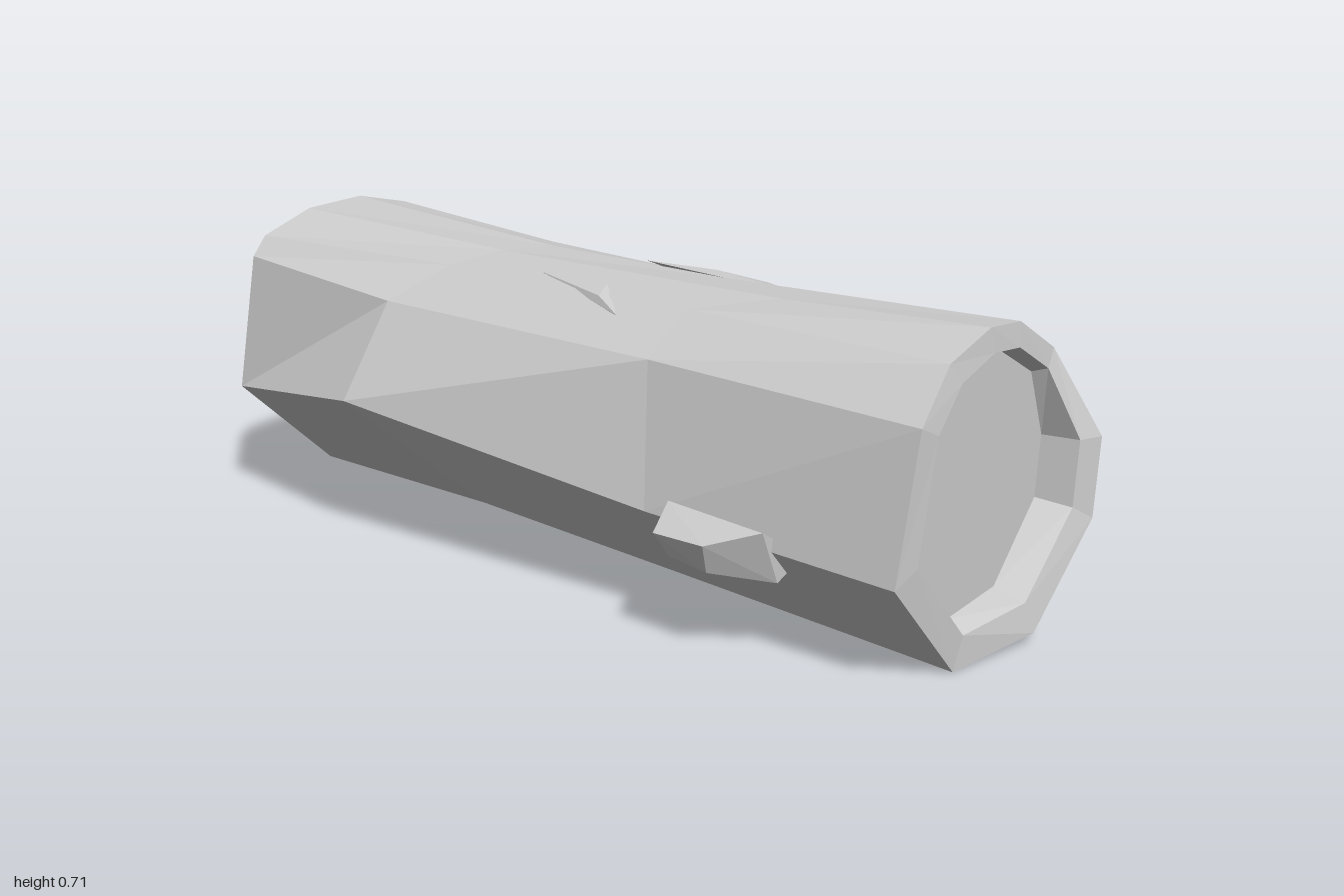
import * as THREE from 'three';
import { ConvexGeometry } from 'three/addons/geometries/ConvexGeometry.js';

const material = new THREE.MeshStandardMaterial({ color: 0xcccccc, flatShading: true });

// Ten-sided ring: [x, y] pairs plus one depth per corner
const ring = (xy, z) => xy.map(([x, y], i) => new THREE.Vector3(x, y, z[i]));

// Skin a row of rings ordered from front to back
function loft(rings) {
  const pos = [];
  const tri = (a, b, c) => pos.push(...a.toArray(), ...b.toArray(), ...c.toArray());
  for (let k = 0; k < rings.length - 1; k++) {
    const f = rings[k], b = rings[k + 1], n = f.length;
    for (let i = 0; i < n; i++) {
      const j = (i + 1) % n;
      if (!f[i].equals(f[j])) tri(f[i], b[j], f[j]);
      if (!b[i].equals(b[j])) tri(f[i], b[i], b[j]);
    }
  }
  const g = new THREE.BufferGeometry();
  g.setAttribute('position', new THREE.Float32BufferAttribute(pos, 3));
  g.computeVertexNormals();
  return g;
}

// Sawn end: inset rim, sunken flat face and its centre
function sawnEnd(outer, scale, depth) {
  const c = outer.reduce((s, p) => s.add(p), new THREE.Vector3()).multiplyScalar(1 / outer.length);
  const inset = (s, tilt, dz) => outer.map((p) => {
    const q = c.clone().lerp(p, s);
    q.z = THREE.MathUtils.lerp(c.z, p.z, tilt) + dz;
    return q;
  });
  return [inset(scale, 0.6, 0), inset(scale - 0.05, 0, depth), inset(0, 0, depth)];
}

export function createModel() {
  const group = new THREE.Group();
  const add = (name, geometry) => {
    const mesh = new THREE.Mesh(geometry, material);
    mesh.name = name;
    group.add(mesh);
  };

  // Cross-sections, counter-clockwise from the bottom
  const front = ring(
    [[-0.05, 0], [0.175, 0.025], [0.36, 0.225], [0.375, 0.395], [0.3, 0.58],
      [0.145, 0.66], [0.02, 0.67], [-0.1, 0.62], [-0.2, 0.52], [-0.25, 0.22]],
    [0.94, 0.985, 1, 1, 0.92, 0.93, 0.94, 0.93, 0.94, 0.93]);
  const midFront = ring(
    [[-0.11, 0.055], [0.19, 0.07], [0.365, 0.335], [0.38, 0.4], [0.27, 0.605],
      [0.15, 0.645], [0.02, 0.655], [-0.1, 0.63], [-0.22, 0.545], [-0.285, 0.25]],
    [0.3, 0.27, 0.27, 0.37, 0.3, 0.2, 0.45, 0.3, 0.3, 0.35]);
  const midBack = ring(
    [[-0.12, 0.08], [0.22, 0.09], [0.3, 0.21], [0.345, 0.345], [0.24, 0.64],
      [0.12, 0.66], [0, 0.66], [-0.12, 0.635], [-0.25, 0.56], [-0.39, 0.35]],
    [-0.3, -0.34, -0.27, -0.48, -0.42, -0.3, -0.35, -0.4, -0.47, -0.47]);
  const back = ring(
    [[-0.04, 0.035], [0.19, 0.035], [0.355, 0.205], [0.37, 0.3], [0.25, 0.68],
      [0.105, 0.71], [-0.06, 0.697], [-0.205, 0.645], [-0.25, 0.6], [-0.31, 0.28]],
    [-0.98, -0.985, -0.985, -0.975, -0.99, -0.995, -0.995, -0.99, -0.98, -0.975]);

  const [fRim, fInner, fCentre] = sawnEnd(front, 0.82, -0.05);
  const [bRim, bInner, bCentre] = sawnEnd(back, 0.76, 0.08);
  add('log', loft([fCentre, fInner, fRim, front, midFront, midBack, back, bRim, bInner, bCentre]));

  // Broken branch and lifted bark, each a small faceted lump
  const lumps = {
    branchStub: [[-0.36, 0.245, 0.44], [-0.365, 0.25, 0.57], [-0.34, 0.187, 0.56], [-0.335, 0.195, 0.46],
      [-0.295, 0.28, 0.66], [-0.28, 0.285, 0.41], [-0.245, 0.165, 0.66], [-0.2, 0.18, 0.42],
      [-0.16, 0.2, 0.66]],
    barkLowerSide: [[0.19, 0.07, 0.27], [0.305, 0.21, -0.27], [0.285, 0.13, -0.2],
      [0.24, 0.076, -0.05], [0.22, 0.1, -0.35]],
    barkUpperSide: [[0.235, 0.635, -0.42], [0.335, 0.52, -0.27], [0.32, 0.575, -0.13],
      [0.27, 0.59, -0.1], [0.28, 0.5, -0.32]],
    barkSide: [[0.357, 0.465, 0.38], [0.378, 0.385, 0.7], [0.388, 0.385, 0.42],
      [0.37, 0.34, 0.28], [0.33, 0.4, 0.4]],
    barkTopRight: [[0.17, 0.65, -0.05], [0.235, 0.63, 0.25], [0.19, 0.65, 0.14],
      [0.13, 0.64, 0.45], [0.2, 0.6, 0.2]],
    barkTopLeft: [[-0.07, 0.645, -0.15], [-0.13, 0.632, 0.08], [-0.16, 0.605, 0.16],
      [-0.07, 0.645, 0.05], [-0.1, 0.6, 0.05]],
  };
  for (const [name, pts] of Object.entries(lumps)) {
    add(name, new ConvexGeometry(pts.map((p) => new THREE.Vector3(...p))));
  }
  return group;
}
